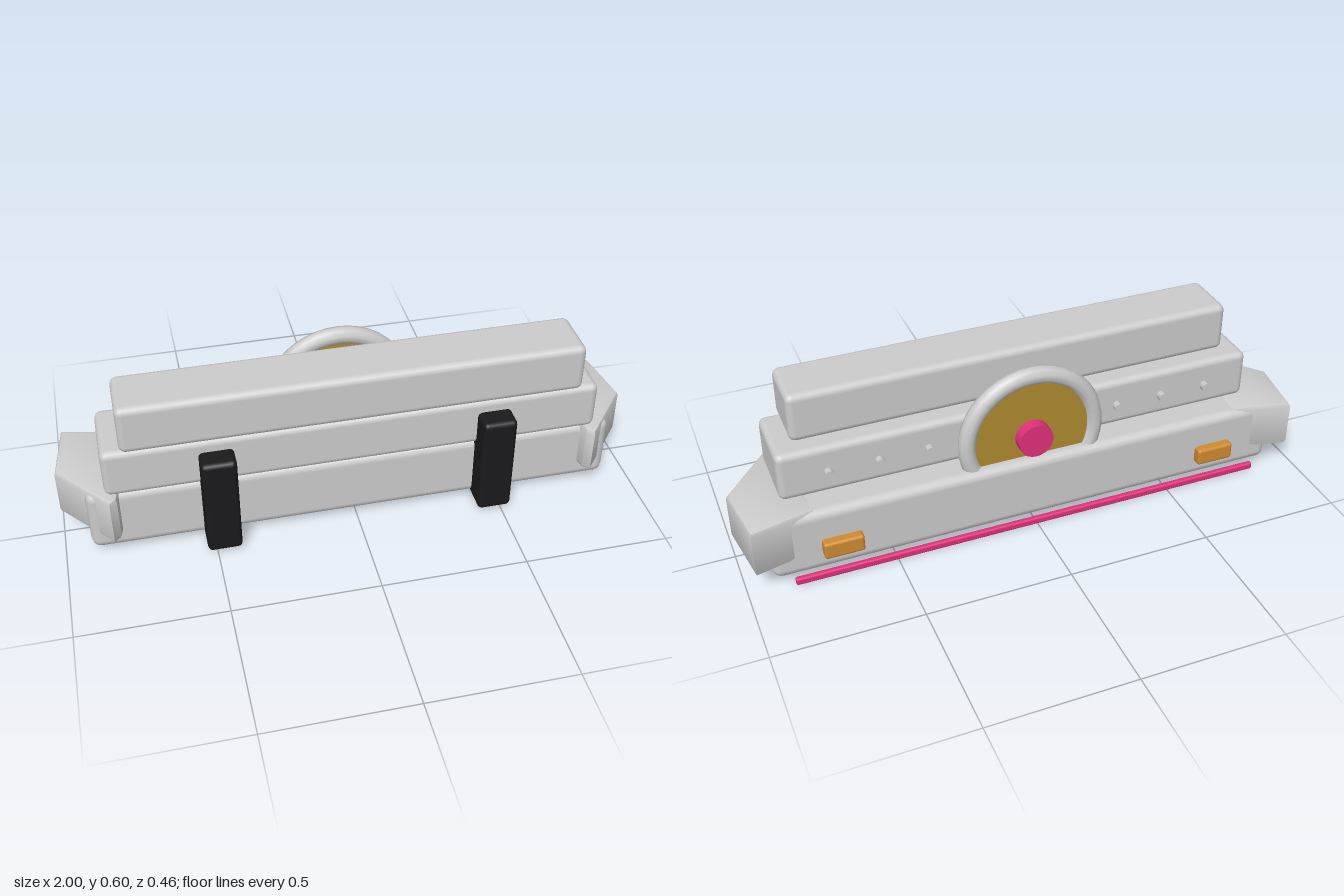
import * as THREE from 'three';
import { RoundedBoxGeometry } from 'three/addons/geometries/RoundedBoxGeometry.js';
import { toCreasedNormals } from 'three/addons/utils/BufferGeometryUtils.js';

const paint = (color) => new THREE.MeshStandardMaterial({ color });
const grey = paint(0xcccccc);
const black = paint(0x1a1a1c);
const pink = paint(0xe0307a);
const amber = paint(0xd08a30);
const gold = paint(0xb08a30);

export function createModel() {
  const model = new THREE.Group();

  const add = (name, geometry, material, x = 0, y = 0, z = 0) => {
    const mesh = new THREE.Mesh(geometry, material);
    mesh.name = name;
    mesh.position.set(x, y, z);
    model.add(mesh);
    return mesh;
  };

  // Bevelled box given by its extents on each axis
  const block = (name, [x0, x1], [y0, y1], [z0, z1], bevel, material = grey) =>
    add(name, new RoundedBoxGeometry(x1 - x0, y1 - y0, z1 - z0, 2, bevel), material,
      (x0 + x1) / 2, (y0 + y1) / 2, (z0 + z1) / 2);

  // Disc-like part whose axis runs along z
  const disc = (name, radius, sides, x, y, z0, z1, material) =>
    add(name, new THREE.CylinderGeometry(radius, radius, z1 - z0, sides).rotateX(Math.PI / 2),
      material, x, y, (z0 + z1) / 2);

  // Three stacked tiers of the body
  block('lowerBody', [-0.91, 0.91], [0.022, 0.255], [-0.198, 0.143], 0.032);
  block('middleBody', [-0.845, 0.845], [0.252, 0.428], [-0.1, 0.155], 0.024);
  block('upperBody', [-0.78, 0.78], [0.426, 0.6], [-0.04, 0.164], 0.024);

  // Wrap-around bumper ends, outlined from above and extruded upwards
  const bevel = 0.014;
  const outlines = [[0.958, -0.212], [0.986, -0.008], [0.832, 0.176], [0.822, 0.168], [0.785, 0.0], [0.768, -0.168]];
  for (const side of [-1, 1]) {
    const points = outlines.map(([x, z]) => new THREE.Vector2(side * x, -z));
    const geometry = new THREE.ExtrudeGeometry(new THREE.Shape(points), {
      depth: 0.174 - 2 * bevel, bevelEnabled: true, bevelSize: bevel,
      bevelThickness: bevel, bevelSegments: 2,
    });
    geometry.rotateX(-Math.PI / 2);
    add(side > 0 ? 'leftBumperEnd' : 'rightBumperEnd', toCreasedNormals(geometry, 0.6), grey, 0, 0.086 + bevel, 0);
  }

  // Upright guards, rear lamps
  for (const side of [-1, 1]) {
    const span = (a, b) => (side > 0 ? [a, b] : [-b, -a]);
    block('frontGuard', span(0.415, 0.532), [0.013, 0.383], [0.1, 0.231], 0.016, black);
    block('rearLamp', span(0.61, 0.745), [0.084, 0.146], [-0.23, -0.185], 0.01, amber);
  }

  // Thin strip under the rear edge
  block('lowerStrip', [-0.845, 0.845], [0, 0.026], [-0.22, -0.2], 0.007, pink);

  // Row of studs along the rear
  for (let i = -4; i <= 4; i++) disc('stud', 0.016, 8, i * 0.17, 0.334, -0.123, -0.09, grey);

  // Spare wheel
  const wheelY = 0.335;
  add('wheelRim', new THREE.TorusGeometry(0.228, 0.03, 10, 40), grey, 0, wheelY, -0.149);
  disc('wheelDisc', 0.214, 40, 0, wheelY, -0.16, -0.138, gold);
  disc('wheelHub', 0.061, 24, 0, wheelY, -0.2, -0.155, pink);

  return model;
}
